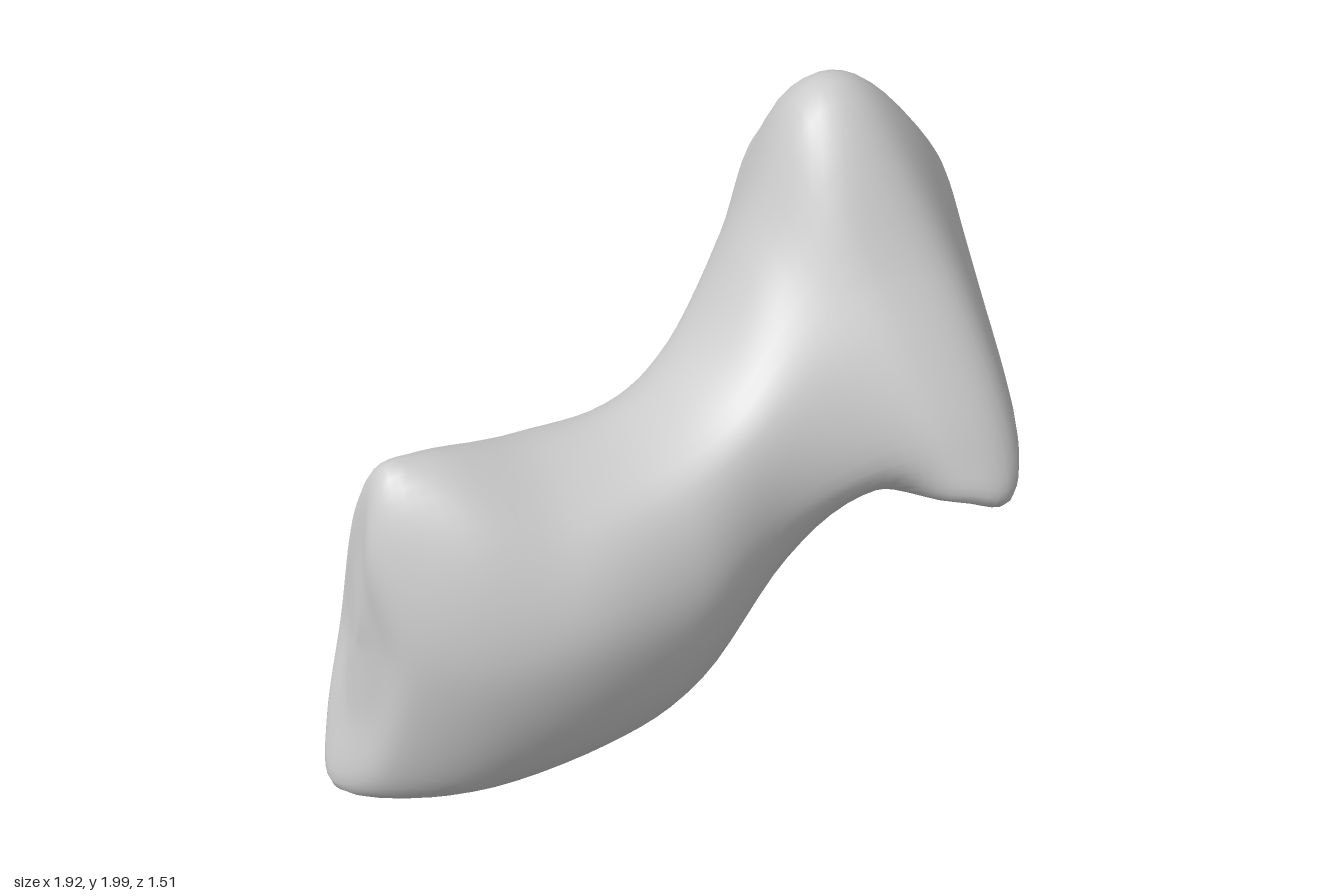
import * as THREE from 'three';
import { mergeVertices } from 'three/addons/utils/BufferGeometryUtils.js';

// Each cross-section: top, top-front, front, bottom-front, bottom, bottom-back, back, top-back
const LOWER_LOBE = [
  [[-.8, 1.19, .33], [-.82, 1.02, .46], [-.77, .7, .57], [-.83, .24, .42], [-.94, .02, .16], [-.92, .2, .06], [-.845, .55, .02], [-.82, .98, .17]],
  [[-.66, 1.23, .32], [-.6, 1.09, .56], [-.58, .72, .69], [-.6, .26, .56], [-.66, .07, .23], [-.66, .22, -.03], [-.62, .56, -.115], [-.62, .97, .06]],
  [[-.35, 1.175, .27], [-.32, 1.09, .58], [-.3, .8, .745], [-.25, .4, .64], [-.25, .21, .3], [-.28, .3, 0], [-.32, .56, -.155], [-.35, .96, -.04]],
];
const NECK = [
  [[-.08, 1.195, .22], [-.04, 1.14, .54], [0, .86, .695], [.02, .54, .62], [.04, .39, .33], [.02, .47, .05], [-.02, .72, -.1], [-.07, 1.01, -.04]],
  [[.15, 1.325, .18], [.18, 1.24, .485], [.27, 1, .58], [.3, .8, .5], [.3, .735, .28], [.28, .78, .03], [.2, .95, -.13], [.14, 1.19, -.07]],
];
const UPPER_LOBE = [
  [[.325, 1.62, .1], [.39, 1.42, .42], [.52, 1.12, .6], [.53, .96, .47], [.48, .865, .2], [.47, .91, -.16], [.42, 1.18, -.41], [.36, 1.46, -.22]],
  [[.465, 1.945, .06], [.585, 1.56, .42], [.7, 1.19, .68], [.71, 1.02, .67], [.68, .97, .2], [.66, 1.01, -.4], [.62, 1.33, -.71], [.55, 1.68, -.4]],
  [[.66, 1.97, .03], [.79, 1.57, .4], [.88, 1.19, .66], [.86, 1.025, .67], [.87, 1.1, .2], [.82, 1.09, -.42], [.79, 1.33, -.73], [.78, 1.69, -.4]],
];

const toVectors = (ring) => ring.map((p) => new THREE.Vector3(...p));

// Ring halfway from a rim to its pole; bulge moves it further out along x
function capRing(rim, pole, bulge) {
  return rim.map((p) => {
    const q = p.clone().lerp(pole, 0.5);
    q.x = THREE.MathUtils.lerp(p.x, pole.x, bulge);
    return q;
  });
}

// Smooth skin through the rings, splined both along and around the body
function loft(rings, rows, cols) {
  const rails = rings[0].map((_, k) =>
    new THREE.CatmullRomCurve3(rings.map((r) => r[k]), false, 'catmullrom', 0.5));
  const positions = [];
  const index = [];
  for (let j = 0; j <= rows; j++) {
    const loop = new THREE.CatmullRomCurve3(rails.map((c) => c.getPoint(j / rows)), true, 'catmullrom', 0.5);
    for (let i = 0; i < cols; i++) positions.push(...loop.getPoint(i / cols).toArray());
  }
  for (let j = 0; j < rows; j++) {
    for (let i = 0; i < cols; i++) {
      const a = j * cols + i;
      const b = j * cols + (i + 1) % cols;
      index.push(a, b, a + cols, b, b + cols, a + cols);
    }
  }
  const geometry = new THREE.BufferGeometry();
  geometry.setAttribute('position', new THREE.Float32BufferAttribute(positions, 3));
  geometry.setIndex(index);
  const skin = mergeVertices(geometry, 1e-5);
  skin.computeVertexNormals();
  return skin;
}

export function createModel() {
  const group = new THREE.Group();
  group.name = 'twoLobedForm';

  // Rings from the lower end cap, through the neck, to the upper end cap
  const body = [...LOWER_LOBE, ...NECK, ...UPPER_LOBE].map(toVectors);
  const first = body[0];
  const last = body[body.length - 1];
  const lowPole = new THREE.Vector3(-0.865, 0.6, 0.25);
  const highPole = new THREE.Vector3(0.96, 1.45, -0.02);
  const rings = [
    first.map(() => lowPole),
    capRing(first, lowPole, 0.65),
    ...body,
    capRing(last, highPole, 0.8),
    last.map(() => highPole),
  ];

  const mesh = new THREE.Mesh(loft(rings, 66, 56), new THREE.MeshStandardMaterial({ color: 0xcccccc }));
  mesh.name = 'body';
  group.add(mesh);
  return group;
}
